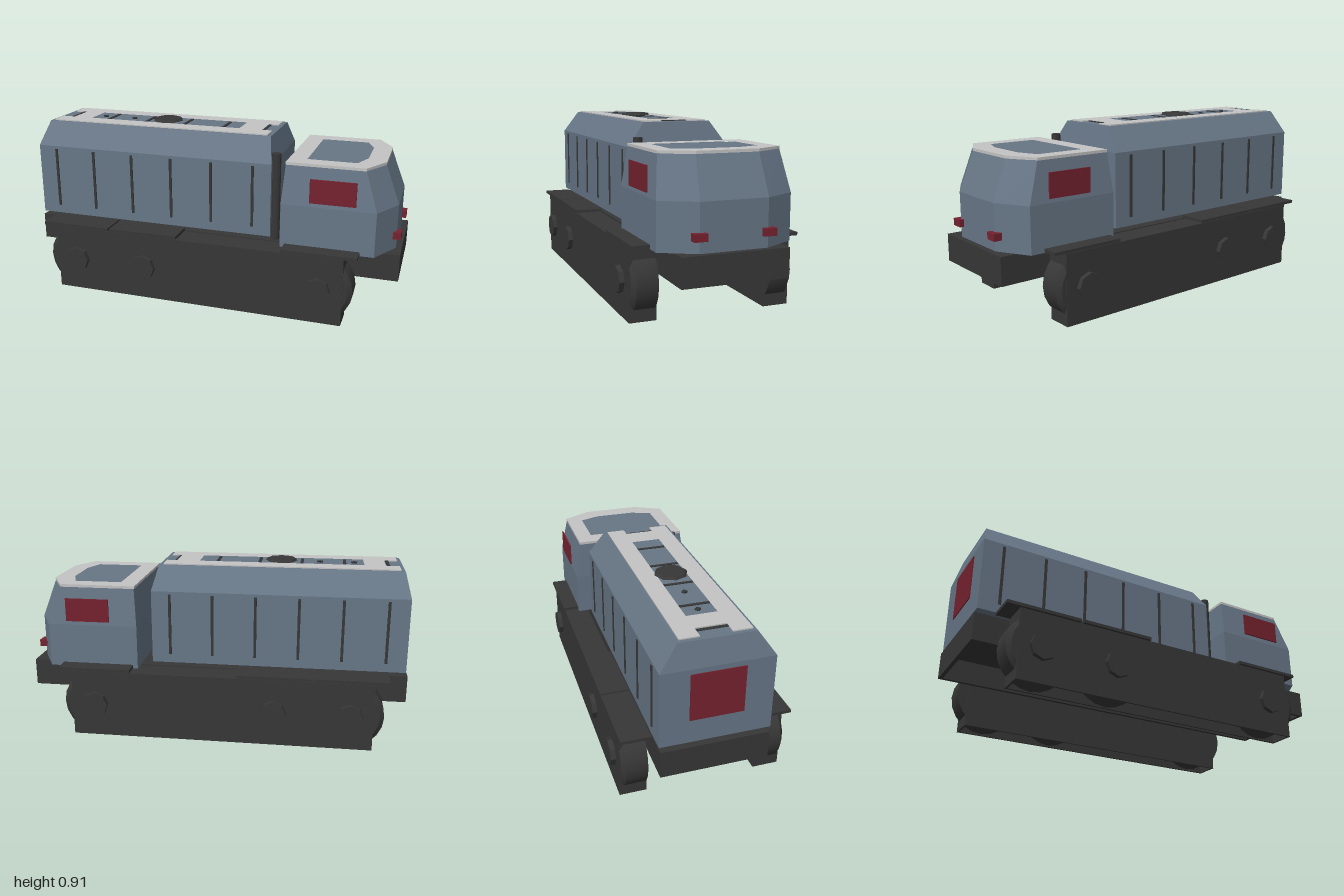
import * as THREE from 'three';
import { toCreasedNormals } from 'three/addons/utils/BufferGeometryUtils.js';

const paint = (name, color) => Object.assign(new THREE.MeshStandardMaterial({ color }), { name });

// Faceted solid through stacked convex outlines: rings = [[y, [[x, z], ...]], ...]
function loft(rings) {
  const pts = rings.map(([y, o]) => o.map(([x, z]) => [x, y, z]));
  const n = pts[0].length, out = [];
  const tri = (a, b, c) => out.push(...a, ...b, ...c);
  for (let r = 0; r < pts.length - 1; r++) {
    for (let i = 0; i < n; i++) {
      const j = (i + 1) % n;
      tri(pts[r][i], pts[r][j], pts[r + 1][j]);
      tri(pts[r][i], pts[r + 1][j], pts[r + 1][i]);
    }
  }
  const lo = pts[0], hi = pts[pts.length - 1];
  for (let i = 1; i < n - 1; i++) {
    tri(hi[0], hi[i], hi[i + 1]);
    tri(lo[0], lo[i + 1], lo[i]);
  }
  const g = new THREE.BufferGeometry();
  g.setAttribute('position', new THREE.Float32BufferAttribute(out, 3));
  g.computeVertexNormals();
  return g;
}

// Completes a half outline (rear to front, +z side) with its mirror
const mirrored = (half) => [...half, ...half.map(([x, z]) => [x, -z]).reverse()];

// Horizontal plate with optional holes
function plate(outline, holes, thickness) {
  const vec = (list) => list.map(([x, z]) => new THREE.Vector2(x, z));
  const shape = new THREE.Shape(vec(outline));
  holes.forEach((h) => shape.holes.push(new THREE.Path(vec(h))));
  return new THREE.ExtrudeGeometry(shape, { depth: thickness, bevelEnabled: false }).rotateX(-Math.PI / 2);
}

export function createModel() {
  const model = new THREE.Group();
  const blue = paint('slateBlue', 0x677686);
  const dark = paint('darkGrey', 0x373737);
  const light = paint('lightGrey', 0xc4c4c4);
  const red = paint('deepRed', 0x75222f);

  const add = (name, geo, mat, x = 0, y = 0, z = 0, parent = model) => {
    const m = new THREE.Mesh(geo, mat);
    m.name = name;
    m.position.set(x, y, z);
    parent.add(m);
    return m;
  };
  // Box given by its limits on each axis
  const box = (name, mat, [x0, x1], [y0, y1], [z0, z1], parent = model) =>
    add(name, new THREE.BoxGeometry(x1 - x0, y1 - y0, z1 - z0), mat,
      (x0 + x1) / 2, (y0 + y1) / 2, (z0 + z1) / 2, parent);
  const drum = (r0, r1, h, sides) =>
    toCreasedNormals(new THREE.CylinderGeometry(r0, r1, h, sides), 0.5);

  // Hollow housing, open underneath
  function housing(name, [x0, x1], [y0, y1], [z0, z1], t) {
    const g = new THREE.Group();
    g.name = name;
    model.add(g);
    box(name + 'Top', dark, [x0, x1], [y1 - t, y1], [z0, z1], g);
    for (const z of [z0, z1 - t]) box(name + 'Side', dark, [x0, x1], [y0, y1 - t], [z, z + t], g);
    for (const x of [x0, x1 - t]) box(name + 'End', dark, [x, x + t], [y0, y1 - t], [z0 + t, z1 - t], g);
  }

  // Chassis
  housing('chassis', [-1, 1], [0.215, 0.356], [-0.265, 0.265], 0.02);

  // Track housings with wheels, hubs and fenders
  const wheelGeo = toCreasedNormals(new THREE.LatheGeometry([
    [0, -0.062], [0.174, -0.062], [0.174, 0.045], [0.15, 0.064], [0, 0.064],
  ].map(([r, y]) => new THREE.Vector2(r, y)), 20), 0.5);
  const hubGeo = drum(0.068, 0.068, 0.03, 8);
  for (const s of [1, -1]) {
    housing('trackHousing', [-0.83, 0.745], [0, 0.356], s > 0 ? [0.28, 0.415] : [-0.415, -0.28], 0.01);
    for (const x of [-0.71, -0.32, 0.62]) {
      add('wheel', wheelGeo, dark, x, 0.179, s * 0.348).rotation.x = s * Math.PI / 2;
      add('wheelHub', hubGeo, dark, x, 0.179, s * 0.425).rotation.x = s * Math.PI / 2;
      box('fender', dark, [x - 0.19, x + 0.19], [0.36, 0.376], s > 0 ? [0.275, 0.422] : [-0.422, -0.275]);
    }
  }

  // Tank body with sloping shoulders
  add('tankBody', loft([
    [0.378, mirrored([[-0.99, 0.27], [0.338, 0.27]])],
    [0.765, mirrored([[-0.99, 0.27], [0.338, 0.27]])],
    [0.888, mirrored([[-0.96, 0.183], [0.31, 0.183]])],
  ]), blue);

  // Ribs on the tank sides and over its roof
  for (let i = 0; i < 6; i++) {
    const x = -0.885 + i * 0.225;
    for (const s of [1, -1]) add('sideRib', new THREE.BoxGeometry(0.014, 0.325, 0.01), dark, x, 0.587, s * 0.27);
    add('roofRib', new THREE.BoxGeometry(0.016, 0.008, 0.15), dark, x, 0.888, 0);
  }

  // Roof walkway: two long strips joined by two crosspieces
  add('walkway', plate(
    mirrored([[-0.94, 0.075], [-0.94, 0.17], [0.29, 0.17], [0.29, 0.075], [0.235, 0.075]])
      .concat([[-0.87, -0.075], [-0.87, 0.075]])
      .filter(([x, z], i, a) => a.findIndex((p) => p[0] === x && p[1] === z) === i),
    [mirrored([[-0.76, 0.075], [0.11, 0.075]])], 0.007), light, 0, 0.887, 0);

  // Roof hatch and small vents
  add('hatchNeck', drum(0.06, 0.06, 0.012, 8), dark, -0.325, 0.89, 0);
  add('hatchLid', drum(0.075, 0.085, 0.012, 8), dark, -0.325, 0.901, 0);
  for (const x of [-0.71, -0.53]) add('roofVent', drum(0.016, 0.016, 0.012, 4), dark, x, 0.89, 0);

  // Rear panel and exhaust stack
  box('rearPanel', red, [-0.995, -0.987], [0.5, 0.74], [-0.13, 0.13]);
  add('exhaustStack', drum(0.024, 0.024, 0.46, 12), dark, 0.355, 0.586, 0.23);

  // Cab with chamfered front corners
  const cabBase = mirrored([[0.405, 0.335], [0.88, 0.335], [0.97, 0.168]]);
  add('cab', loft([
    [0.356, cabBase],
    [0.585, cabBase],
    [0.785, mirrored([[0.42, 0.305], [0.815, 0.305], [0.893, 0.155]])],
  ]), blue);

  // Cab roof rim framing a panel in body colour
  add('cabRoofRim', plate(
    mirrored([[0.418, 0.306], [0.815, 0.306], [0.895, 0.155]]),
    [mirrored([[0.51, 0.22], [0.76, 0.22], [0.8, 0.11]])], 0.014), light, 0, 0.782, 0);

  // Side windows and front lamps
  for (const s of [1, -1]) {
    add('sideWindow', new THREE.BoxGeometry(0.23, 0.122, 0.008), red, 0.665, 0.668, s * 0.341);
    add('frontLamp', new THREE.BoxGeometry(0.04, 0.036, 0.064), red, 0.973, 0.431, s * 0.17);
  }
  return model;
}
